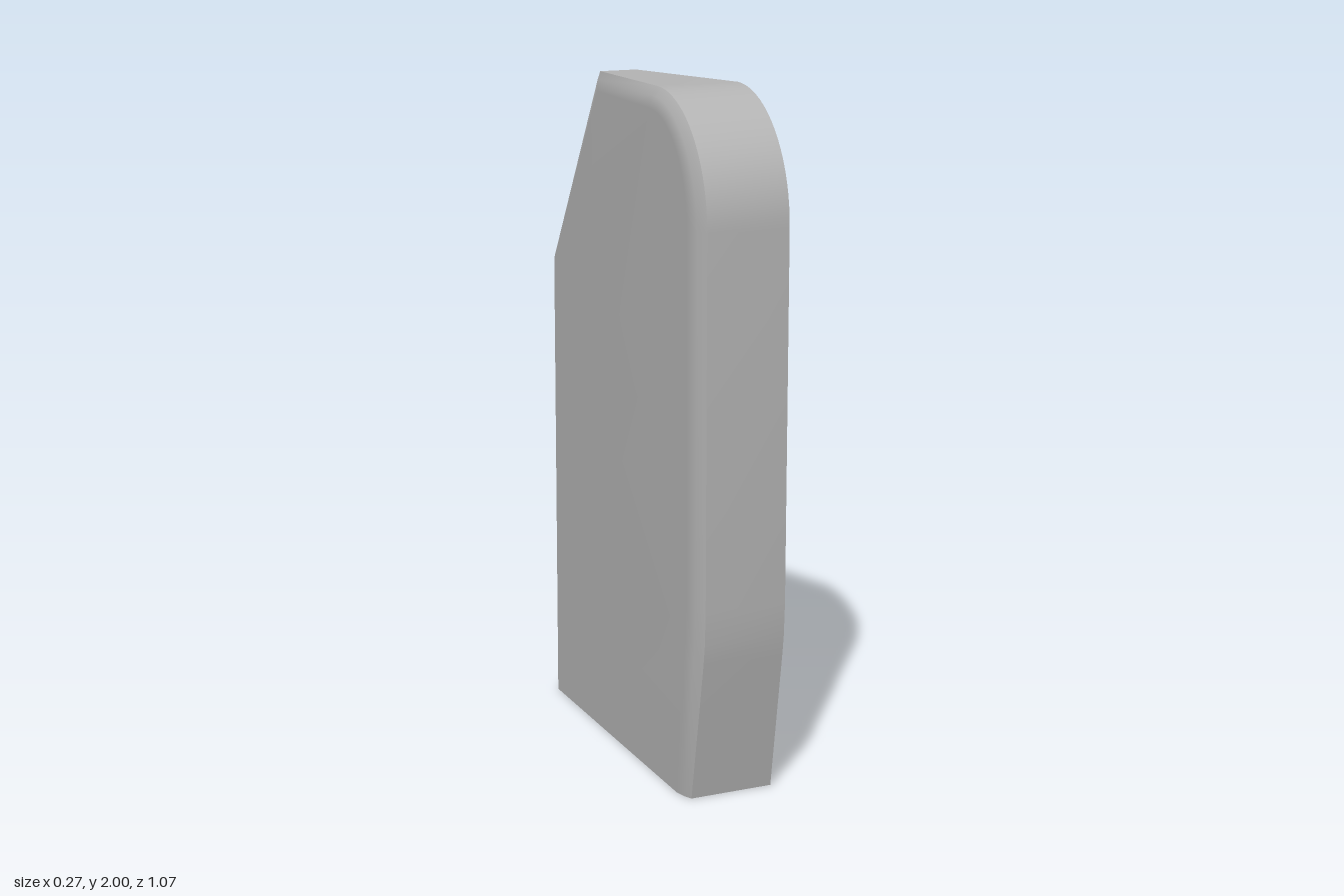
import * as THREE from 'three';
import { toCreasedNormals } from 'three/addons/utils/BufferGeometryUtils.js';

// Builds an indexed geometry from [x, y, z] points and triangles
function build(points, tris) {
  const g = new THREE.BufferGeometry();
  g.setAttribute('position', new THREE.Float32BufferAttribute(points.flat(), 3));
  g.setIndex(tris.flat());
  g.computeVertexNormals();
  return g;
}

export function createModel() {
  const group = new THREE.Group();
  group.name = 'taperedSlab';
  const grey = new THREE.MeshStandardMaterial({ color: 0xb4b4b4 });
  grey.name = 'plain grey';
  const add = (name, geometry) => {
    const mesh = new THREE.Mesh(geometry, grey);
    mesh.name = name;
    group.add(mesh);
  };

  // Side outline: z, y, thick-side x, and bevel direction (nz, ny) with strength k
  const T = 0.135;
  const outline = [];
  const pt = (z, y, x, nz, ny, k) => outline.push({ z, y, x, nz, ny, k });
  pt(0.27, 0, T, 0, 0, 0);
  pt(0.455, 0, T, 0.9, 0, 0.8);
  pt(0.522, 0.42, T, 1, 0, 1);
  pt(0.53, 0.48, T, 1, 0, 1);
  pt(0.535, 0.58, T, 1, 0, 1);
  const steps = 18;
  for (let i = 0; i <= steps; i++) {
    const a = (i / steps) * Math.PI / 2, c = Math.cos(a), s = Math.sin(a);
    pt(0.205 + 0.33 * c, 1.64 + 0.36 * s, T, c, s, 1);
  }
  const A = outline.length - 1;
  pt(-0.2, 2, 0, -0.4, 1, 0.9);
  pt(-0.524, 1.4, 0, 0, 0, 0);
  pt(-0.53, 0, 0, 0, 0, 0);
  const n = outline.length, E = A + 1, D = A + 2, C = A + 3;

  const thick = outline.map(p => [p.x, p.y, p.z]);
  const rim = outline.map(p => [-T + 0.025 * p.k, p.y, p.z]);
  const mid = outline.map(p => [-T + 0.01 * p.k, p.y - 0.025 * p.k * p.ny, p.z - 0.035 * p.k * p.nz]);
  const inner = outline.map(p => [-T, p.y - 0.06 * p.k * p.ny, p.z - 0.08 * p.k * p.nz]);

  // Thick side: flat front part, then a taper towards the back
  const side = [[A, D, E], [A, C, D], [A, 0, C]];
  for (let j = 1; j < A; j++) side.push([0, j + 1, j]);
  add('taperedSide', build(thick, side));

  // Edge wall running round the outline, including the base
  const wall = [];
  for (let i = 0; i < n; i++) {
    const j = (i + 1) % n;
    wall.push([i, n + i, n + j], [i, n + j, j]);
  }
  add('edgeWall', toCreasedNormals(build([...rim, ...thick], wall), 0.3));

  // Flat side with its softened border
  const cap = [];
  for (let i = 0; i < n; i++) {
    const j = (i + 1) % n;
    for (const o of [0, n]) cap.push([o + i, o + j, o + n + j], [o + i, o + n + j, o + n + i]);
  }
  for (let i = 0; i < C - 1; i++) cap.push([2 * n + C, 2 * n + i, 2 * n + i + 1]);
  add('flatSide', build([...rim, ...mid, ...inner], cap));

  return group;
}
